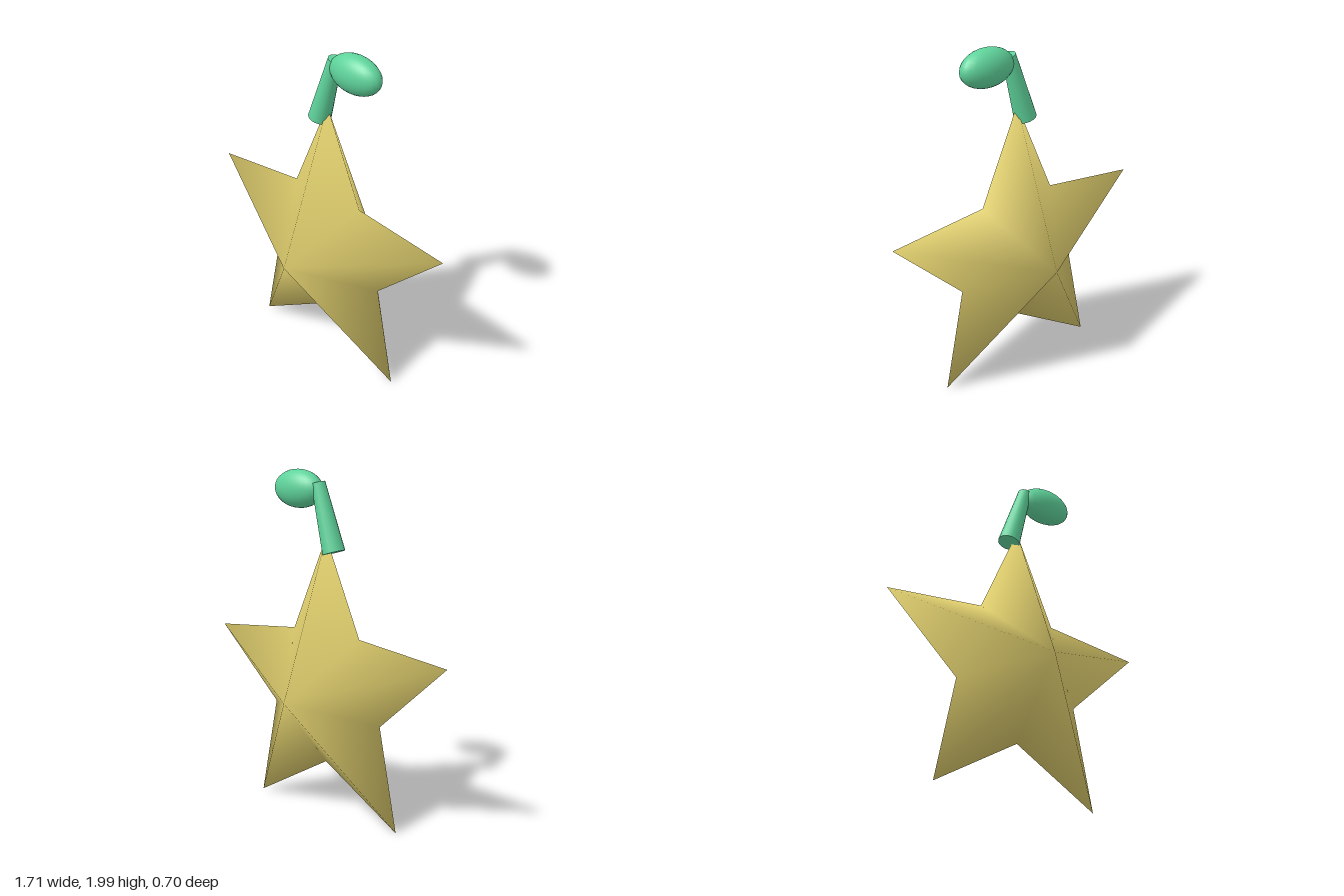
import * as THREE from 'three';

const gold = new THREE.MeshStandardMaterial({ name: 'gold', color: 0xdccb6c });
const green = new THREE.MeshStandardMaterial({ name: 'green', color: 0x5fd39b });

// Five-pointed star rim joined to a front and a back apex, with shared smooth normals
function starGeometry(points, outer, inner, depth) {
  const n = points * 2;
  const positions = [];
  const index = [];
  for (let i = 0; i < n; i++) {
    const a = Math.PI / 2 + (i / n) * Math.PI * 2;
    const r = i % 2 ? inner : outer;
    positions.push(Math.cos(a) * r, Math.sin(a) * r, 0);
  }
  positions.push(0, 0, depth, 0, 0, -depth);
  for (let i = 0; i < n; i++) {
    const j = (i + 1) % n;
    index.push(i, j, n, j, i, n + 1);
  }
  const geometry = new THREE.BufferGeometry();
  geometry.setAttribute('position', new THREE.Float32BufferAttribute(positions, 3));
  geometry.setIndex(index);
  geometry.computeVertexNormals();
  return geometry;
}

function addPart(group, name, geometry, material, x, y) {
  const mesh = new THREE.Mesh(geometry, material);
  mesh.name = name;
  mesh.position.set(x, y, 0);
  group.add(mesh);
  return mesh;
}

export function createModel() {
  const model = new THREE.Group();
  model.name = 'starFruit';

  addPart(model, 'starBody', starGeometry(5, 0.9, 0.425, 0.35), gold, 0, 0.735);

  // Tapered stem leaning over the top point
  const stem = addPart(model, 'stem', new THREE.CylinderGeometry(0.04, 0.065, 0.4, 16), green, 0, 1.74);
  stem.rotation.z = -0.3;

  // Flattened oval leaf at the stem's tip
  const leaf = addPart(model, 'leaf', new THREE.SphereGeometry(1, 24, 16), green, 0.208, 1.89);
  leaf.scale.set(0.173, 0.11, 0.086);

  return model;
}
